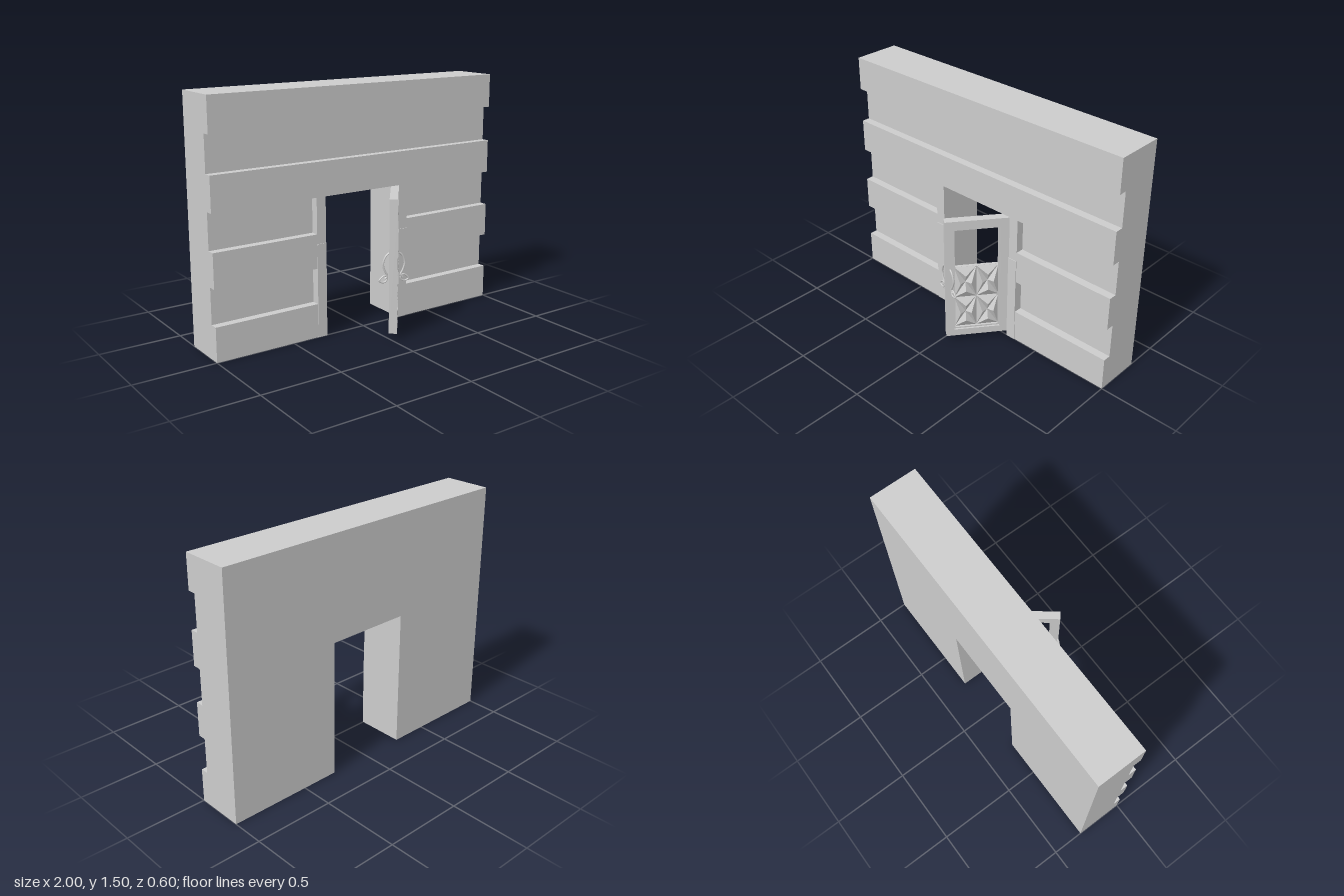
import * as THREE from 'three';

const grey = new THREE.MeshStandardMaterial({ color: 0xcccccc, flatShading: true });
const smooth = new THREE.MeshStandardMaterial({ color: 0xcccccc });
const thin = new THREE.MeshStandardMaterial({ color: 0xcccccc, flatShading: true, side: THREE.DoubleSide });

function add(parent, name, geometry, material = grey) {
  const mesh = new THREE.Mesh(geometry, material);
  mesh.name = name;
  parent.add(mesh);
  return mesh;
}

function box(parent, name, x0, x1, y0, y1, z0, z1) {
  const m = add(parent, name, new THREE.BoxGeometry(x1 - x0, y1 - y0, z1 - z0));
  m.position.set((x0 + x1) / 2, (y0 + y1) / 2, (z0 + z1) / 2);
  return m;
}

function poly(points) {
  return new THREE.Shape(points.map(([x, y]) => new THREE.Vector2(x, y)));
}

function slab(parent, name, shape, z0, z1) {
  const m = add(parent, name, new THREE.ExtrudeGeometry(shape, { depth: z1 - z0, bevelEnabled: false }));
  m.position.z = z0;
  return m;
}

// Rectangular ring used for the door frame and its moulding
function ring(parent, name, x0, x1, y0, y1, wx, wb, wt, z0, z1) {
  const shape = poly([[x0, y0], [x1, y0], [x1, y1], [x0, y1]]);
  shape.holes.push(poly([[x0 + wx, y0 + wb], [x0 + wx, y1 - wt], [x1 - wx, y1 - wt], [x1 - wx, y0 + wb]]));
  return slab(parent, name, shape, z0, z1);
}

// Carved relief: each cell has four raised points around a sunken centre
function carvedRelief(x0, x1, y0, y1, cols, rows, low, high) {
  const pos = [];
  const a = (x1 - x0) / cols / 2, b = (y1 - y0) / rows / 2;
  const corners = [[-1, -1], [1, -1], [1, 1], [-1, 1]];
  for (let i = 0; i < cols; i++) for (let j = 0; j < rows; j++) {
    const cx = x0 + (2 * i + 1) * a, cy = y0 + (2 * j + 1) * b;
    const at = ([u, v], z) => [cx + u * a, cy + v * b, z];
    for (let k = 0; k < 4; k++) {
      const p = corners[k], q = corners[(k + 1) % 4];
      const A = at(p, low), B = at(q, low), C = at([0, 0], low);
      const P = at([(p[0] + q[0]) * 0.25, (p[1] + q[1]) * 0.25], high);
      pos.push(...A, ...B, ...P, ...B, ...C, ...P, ...C, ...A, ...P);
    }
  }
  const g = new THREE.BufferGeometry();
  g.setAttribute('position', new THREE.Float32BufferAttribute(pos, 3));
  g.computeVertexNormals();
  return g;
}

function tube(parent, name, points, radius, closed = false) {
  const curve = new THREE.CatmullRomCurve3(points.map(([x, y]) => new THREE.Vector3(x, y, 0)), closed);
  return add(parent, name, new THREE.TubeGeometry(curve, 32, radius, 8, closed), smooth);
}

function buildWall() {
  const wall = new THREE.Group();
  wall.name = 'wall';
  const d = 0.268, h = 0.86, n = 0.33;
  // Back of the wall with the doorway
  slab(wall, 'wallCore', poly([[-1, 0], [-d, 0], [-d, h], [d, h], [d, 0], [1, 0], [1, 1.5], [-1, 1.5]]), -0.3, -0.05);
  // Front courses, leaving grooves open at the wall ends
  const right = [[d, 0], [1, 0], [1, 0.21], [n, 0.21], [n, 0.43], [1, 0.43], [1, 0.64], [n, 0.64], [n, h], [1, h], [1, 1.07]];
  const left = right.map(([x, y]) => [-x, y]).reverse();
  slab(wall, 'lowerCourses', poly([[d, h], ...right, ...left, [-d, h]]), -0.05, 0);
  box(wall, 'topCourse', -1, 1, 1.29, 1.5, -0.05, 0);
  // Shallow plates beside the doorway
  for (const s of [-1, 1]) {
    const plate = box(wall, 'jambPlate', d, n, 0, 0.58, -0.002, 0.004);
    plate.position.x *= s;
  }
  return wall;
}

function buildDoor() {
  // Local x runs from the free edge to the hinge, local z out of the carved face
  const door = new THREE.Group();
  door.name = 'door';
  const w = 0.381, x0 = 0.05, x1 = w - 0.05;
  ring(door, 'doorFrame', 0, w, 0.035, 0.857, 0.05, 0.045, 0.06, -0.05, 0);
  ring(door, 'frameMoulding', x0, x1, 0.08, 0.797, 0.009, 0.009, 0.007, -0.042, -0.012);
  box(door, 'lowerPanel', x0, x1, 0.08, 0.525, -0.047, -0.028);
  add(door, 'carvedPanel', carvedRelief(x0 + 0.006, x1 - 0.006, 0.088, 0.525, 2, 2, -0.027, 0.002), thin);
  door.position.set(0.035, 0, 0.3);
  door.rotation.y = Math.atan2(0.787, 0.617);
  return door;
}

// Curved pull handle ending in a small leaf-shaped loop
function buildHandle(side) {
  const handle = new THREE.Group();
  handle.name = side > 0 ? 'outerHandle' : 'innerHandle';
  const m = ([x, y]) => [x * side, y];
  tube(handle, 'handleBar', [[0.03, 0.535], [0.052, 0.515], [0.068, 0.47], [0.058, 0.43], [0.042, 0.395], [0.055, 0.38]].map(m), 0.006);
  tube(handle, 'handleLoop', [[0.042, 0.385], [0.058, 0.398], [0.078, 0.388], [0.092, 0.37], [0.072, 0.358], [0.052, 0.362]].map(m), 0.005, true);
  return handle;
}

export function createModel() {
  const model = new THREE.Group();
  model.name = 'doorway';
  model.add(buildWall(), buildDoor());
  const handles = new THREE.Group();
  handles.name = 'handles';
  handles.add(buildHandle(1), buildHandle(-1));
  handles.position.set(0.028, 0, 0.273);
  handles.rotation.y = -0.28;
  model.add(handles);
  return model;
}
